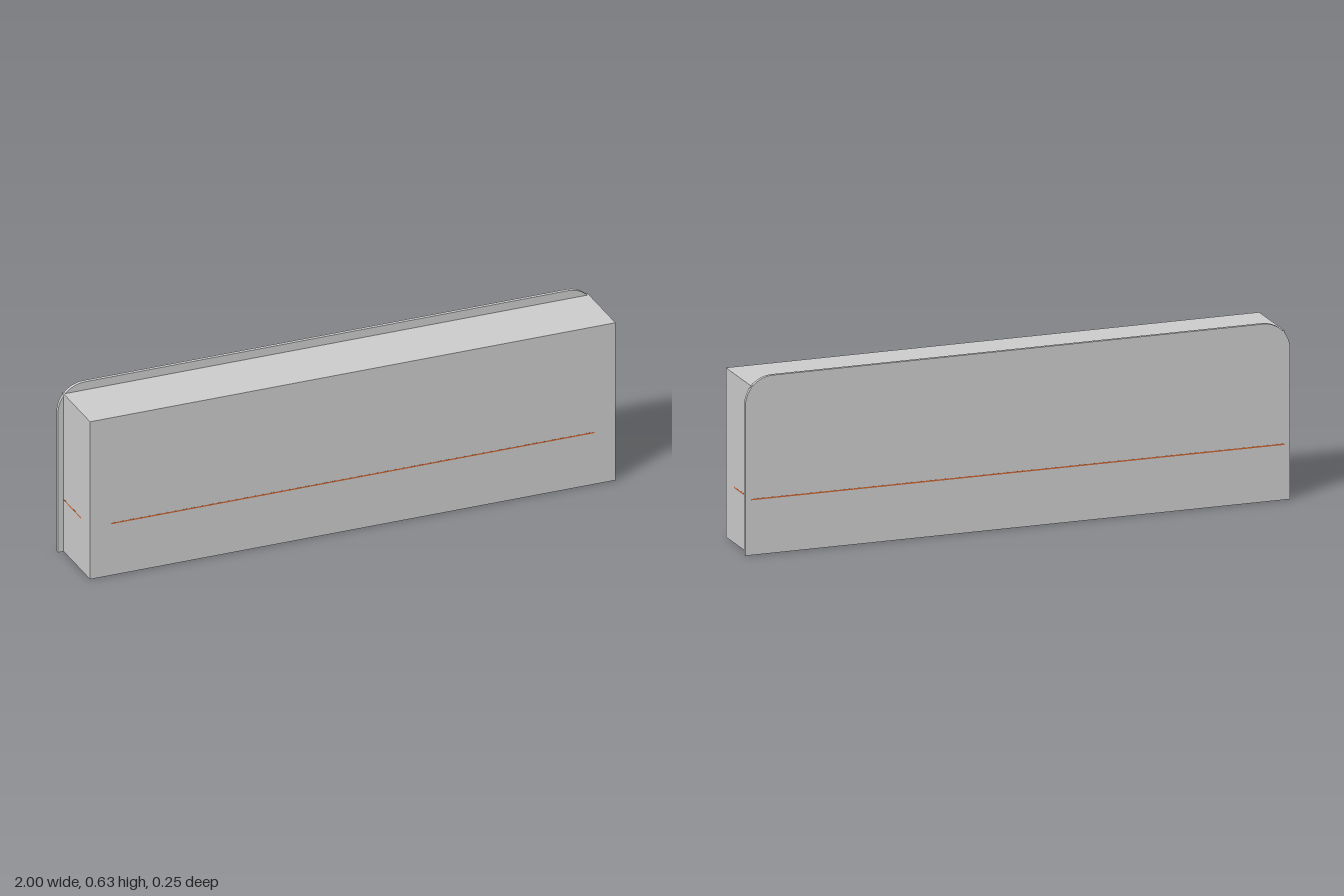
import * as THREE from 'three';

// Rectangle spanning x -w..w and y 0..h, with its two upper corners rounded
function roundedTop(w, h, r) {
  const s = new THREE.Shape();
  s.moveTo(-w, 0);
  s.lineTo(w, 0);
  s.lineTo(w, h - r);
  s.absarc(w - r, h - r, r, 0, Math.PI / 2, false);
  s.lineTo(-w + r, h);
  s.absarc(-w + r, h - r, r, Math.PI / 2, Math.PI, false);
  s.closePath();
  return s;
}

function slab(name, shape, depth, material) {
  const geometry = new THREE.ExtrudeGeometry(shape, { depth, bevelEnabled: false, curveSegments: 8 });
  const mesh = new THREE.Mesh(geometry, material);
  mesh.name = name;
  return mesh;
}

export function createModel() {
  const group = new THREE.Group();
  const grey = new THREE.MeshStandardMaterial({ color: 0xcccccc });
  const orange = new THREE.MeshStandardMaterial({ color: 0xcc6633 });
  const back = -0.123, depth = 0.246;

  // Main block
  const body = new THREE.Mesh(new THREE.BoxGeometry(1.958, 0.604, depth), grey);
  body.name = 'body';
  body.position.y = 0.302;
  group.add(body);

  // Thin back plate, slightly wider and taller than the block
  const plate = slab('backPlate', roundedTop(1, 0.635, 0.1), 0.013, grey);
  plate.position.z = back;
  group.add(plate);

  // Thin inlaid layer, flush with the block, its rounded front corners buried inside
  const stripe = slab('stripe', roundedTop(0.9793, depth + 0.0006, 0.085), 0.005, orange);
  stripe.rotation.x = Math.PI / 2;
  stripe.position.set(0, 0.201, back - 0.0003);
  group.add(stripe);

  return group;
}
